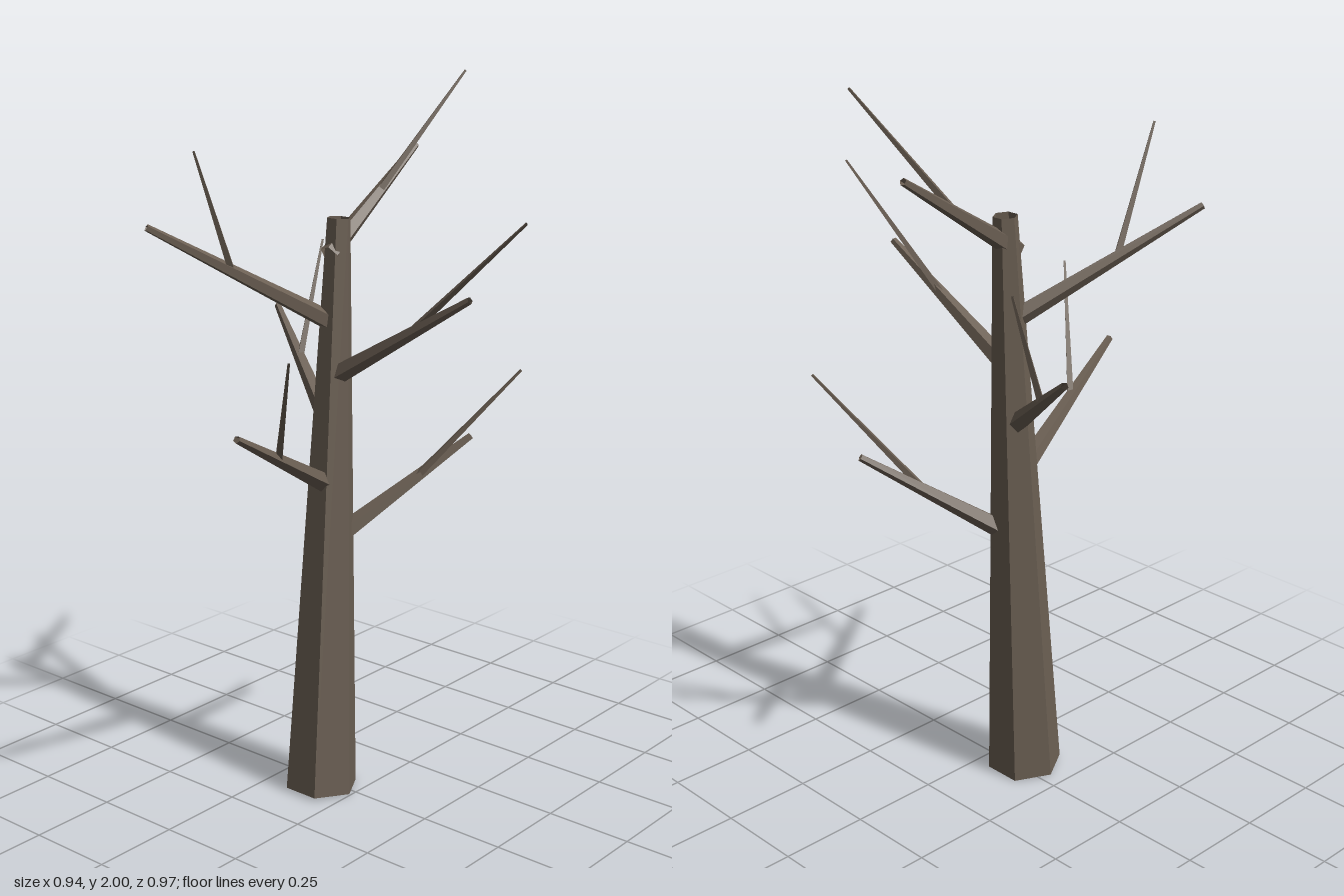
import * as THREE from 'three';

const bark = new THREE.MeshStandardMaterial({ color: 0x6b5f53, flatShading: true, side: THREE.DoubleSide });

// Open tapered tube running from point a to point b
function limb(name, a, b, r0, r1, sides) {
  const from = new THREE.Vector3(...a);
  const dir = new THREE.Vector3(...b).sub(from);
  const len = dir.length();
  const geo = new THREE.CylinderGeometry(r1, r0, len, sides, 1, true);
  geo.translate(0, len / 2, 0);
  const mesh = new THREE.Mesh(geo, bark);
  mesh.name = name;
  mesh.position.copy(from);
  mesh.quaternion.setFromUnitVectors(new THREE.Vector3(0, 1, 0), dir.normalize());
  return mesh;
}

// Each bough: root on the trunk, its tip, and the tip of its side twig
const boughs = [
  { root: [0.05, 0.76, -0.08], tip: [0.37, 1.0, 0.112], twig: [0.413, 1.205, 0.248] },
  { root: [-0.01, 0.91, -0.1], tip: [-0.468, 1.158, 0.004], twig: [-0.422, 1.365, 0.14] },
  { root: [0.03, 1.065, -0.12], tip: [0.222, 1.318, -0.48], twig: [0.266, 1.52, -0.345] },
  { root: [0.025, 1.215, -0.085], tip: [0.04, 1.475, 0.343], twig: [0.085, 1.68, 0.48] },
  { root: [0.03, 1.355, -0.11], tip: [-0.38, 1.635, -0.388], twig: [-0.337, 1.838, -0.252] },
  { root: [0.02, 1.54, -0.108], tip: [0.42, 1.79, -0.133], twig: [0.467, 1.998, 0] },
];

export function createModel() {
  const tree = new THREE.Group();
  tree.name = 'bareTree';

  // Leaning six-sided trunk
  tree.add(limb('trunk', [-0.03, 0.006, -0.104], [0.057, 1.635, -0.107], 0.105, 0.033, 6));

  // Boughs, each forking into a thin twig just past the middle
  boughs.forEach(({ root, tip, twig }, i) => {
    const group = new THREE.Group();
    group.name = `bough${i + 1}`;
    const fork = root.map((v, k) => v + (tip[k] - v) * 0.55);
    group.add(limb('branch', root, tip, 0.028, 0.01, 5));
    group.add(limb('twig', fork, twig, 0.012, 0.004, 4));
    tree.add(group);
  });
  return tree;
}
